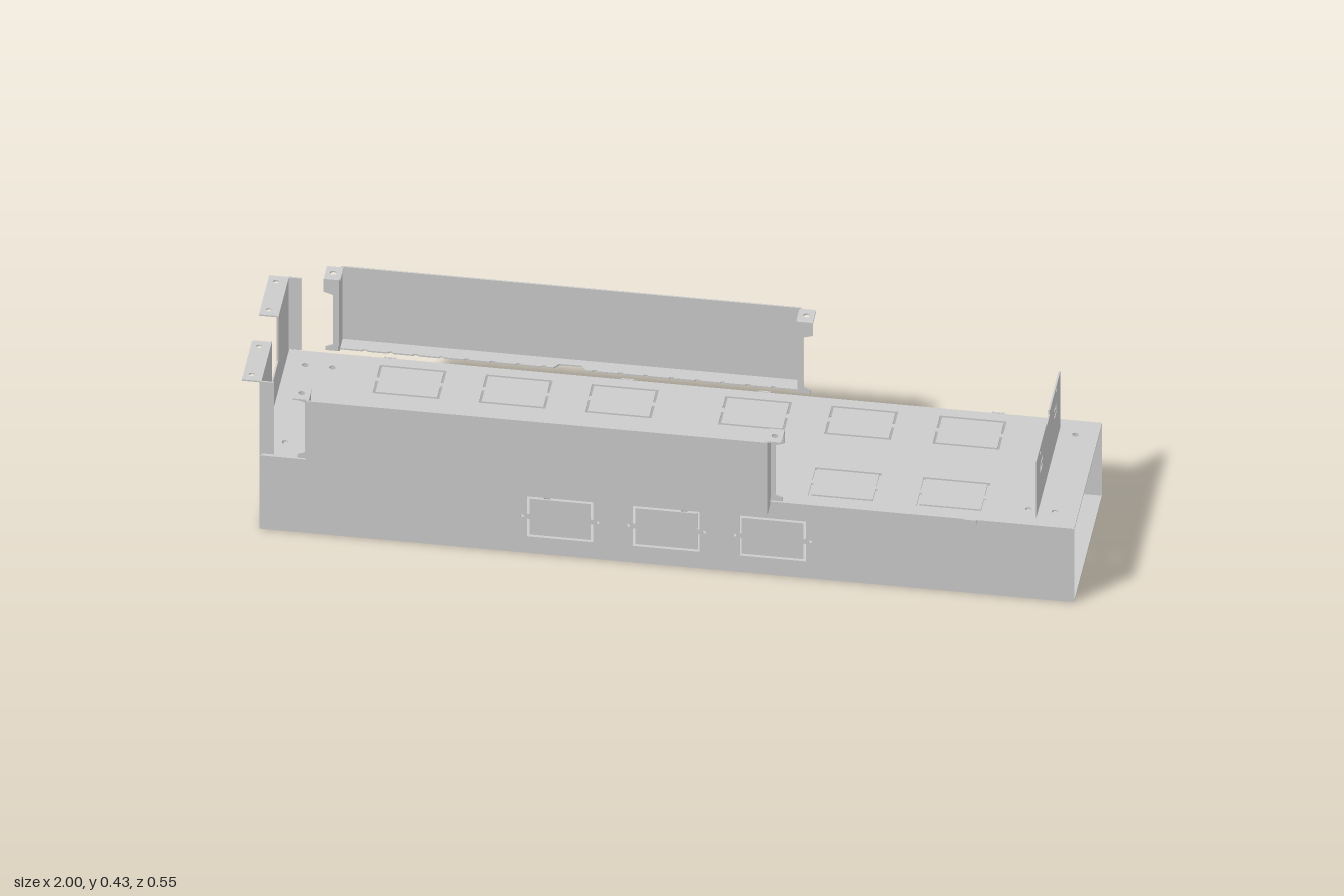
import * as THREE from 'three';

const T = 0.004; // sheet thickness
const W = 0.215, H = 0.215, X0 = -0.957, X1 = 1.0;
const mat = new THREE.MeshStandardMaterial({ color: 0xcccccc, side: THREE.DoubleSide });

const poly = (pts, Type = THREE.Shape) => new Type(pts.map(([x, y]) => new THREE.Vector2(x, y)));
const rectPts = (cx, cy, w, h) => [
  [cx - w / 2, cy - h / 2], [cx + w / 2, cy - h / 2], [cx + w / 2, cy + h / 2], [cx - w / 2, cy + h / 2]];
const rectHole = (...a) => poly(rectPts(...a), THREE.Path);
const roundHole = (x, y, r) => new THREE.Path().absarc(x, y, r, 0, Math.PI * 2, true);

// Sheet drawn on a plane: 'xy' faces z, 'xz' faces y (v = z), 'zy' faces x (u = z)
function sheet(parent, name, pts, holes, plane, at) {
  const flip = plane === 'xz';
  const shape = poly(pts);
  shape.holes = holes;
  const g = new THREE.ExtrudeGeometry(shape, { depth: T, bevelEnabled: false, curveSegments: 6 });
  g.translate(0, 0, -T / 2);
  if (flip) { g.rotateX(Math.PI / 2); g.translate(0, at, 0); }
  else if (plane === 'zy') { g.rotateY(-Math.PI / 2); g.translate(at, 0, 0); }
  else g.translate(0, 0, at);
  const m = new THREE.Mesh(g, mat);
  m.name = name;
  parent.add(m);
  return m;
}

// Knockout: a panel held in its opening by two small bridges
function knockouts(parent, name, list, plane, at) {
  const gap = 0.006;
  for (const [x, y, w, h] of list) {
    sheet(parent, name, rectPts(x, y, w - 2 * gap, h - 2 * gap), [], plane, at);
    for (const s of [-1, 1])
      sheet(parent, name + 'Bridge', rectPts(x + s * (w / 2 - gap / 2), y, gap, 0.014), [], plane, at);
  }
}

function createBody() {
  const body = new THREE.Group();
  body.name = 'ductBody';
  const cx = (X0 + X1) / 2, len = X1 - X0;

  // Top cover with twelve knockouts and corner screw holes
  const top = [], topHoles = [];
  for (const z of [-0.13, 0.122])
    for (const x of [-0.65, -0.395, -0.14, 0.18, 0.435, 0.695]) top.push([x, z, 0.16, 0.115]);
  for (const z of [-0.16, 0.155])
    for (const x of [-0.905, -0.84, 0.88, 0.945]) topHoles.push(roundHole(x, z, 0.008));
  sheet(body, 'topCover', rectPts(cx, 0, len, 2 * W),
    [...top.map((k) => rectHole(...k)), ...topHoles], 'xz', H - T / 2);
  knockouts(body, 'topKnockout', top, 'xz', H - T / 2);

  // Floor with two large knockouts and centre holes
  const floor = [[-0.755, 0, 0.19, 0.32], [0.775, 0, 0.19, 0.32]];
  const floorHoles = [-0.3, 0.03, 0.37].map((x) => roundHole(x, 0, 0.008));
  for (const x of [-0.6, 0.62])
    for (const z of [-0.13, 0.13]) floorHoles.push(rectHole(x, z, 0.01, 0.035));
  sheet(body, 'floor', rectPts(cx, 0, len, 2 * W),
    [...floor.map((k) => rectHole(...k)), ...floorHoles], 'xz', T / 2);
  knockouts(body, 'floorKnockout', floor, 'xz', T / 2);

  // Side walls with three knockouts each
  const side = [-0.235, 0.02, 0.275].map((x) => [x, 0.107, 0.16, 0.117]);
  for (const s of [-1, 1]) {
    const holes = side.map((k) => rectHole(...k));
    for (const [x, , w] of side)
      for (const e of [-1, 1]) holes.push(roundHole(x + e * (w / 2 + 0.011), 0.107, 0.004));
    if (s < 0)
      for (const x of [-0.86, 0.91]) holes.push(rectHole(x, 0.185, 0.05, 0.01), roundHole(x, 0.155, 0.006));
    sheet(body, 'sideWall', rectPts(cx, H / 2, len, H), holes, 'xy', s * W);
    knockouts(body, 'sideKnockout', side, 'xy', s * W);
    // Cover clips folded over the wall
    for (const x of [-0.71, -0.14, 0.19, 0.75])
      sheet(body, 'coverClip', rectPts(x, H - 0.005, 0.03, 0.012), [], 'xy', s * (W + T));
  }
  return body;
}

// Closed end, rising above the cover as two posts with flanges
function createEndPlate() {
  const end = new THREE.Group();
  end.name = 'endPlate';
  const top = 0.43, notch = 0.3, n = 0.05;
  sheet(end, 'endWall', [[-W, 0], [W, 0], [W, top], [n, top], [n, notch], [-n, notch], [-n, top], [-W, top]],
    [], 'zy', X0 + T / 2);
  for (const s of [-1, 1]) {
    sheet(end, 'postSideFlange', rectPts(X0 + 0.017, 0.325, 0.034, 0.21), [], 'xy', s * (W - T / 2));
    sheet(end, 'postTopFlange', rectPts(-0.978, s * 0.133, 0.044, 0.16),
      [roundHole(-0.98, s * 0.075, 0.007), roundHole(-0.98, s * 0.19, 0.007)], 'xz', top - T / 2);
  }
  return end;
}

// Upright partition near the open end
function createPartition() {
  const g = new THREE.Group();
  g.name = 'partition';
  const holes = [];
  for (const s of [-1, 1]) {
    holes.push(roundHole(s * 0.128, 0.365, 0.005));
    // C-shaped slot around a tongue
    holes.push(poly([[0.09, 0.303], [0.124, 0.303], [0.124, 0.331], [0.09, 0.331], [0.09, 0.323],
      [0.112, 0.323], [0.112, 0.311], [0.09, 0.311]].map(([z, y]) => [s * z, y]), THREE.Path));
  }
  sheet(g, 'partitionPlate', [[-0.185, H], [0.185, H], [0.185, 0.379], [0.025, 0.379], [0.025, 0.367],
    [-0.025, 0.367], [-0.025, 0.379], [-0.185, 0.379]], holes, 'zy', 0.903);
  return g;
}

// Raised side channel: outer plate, bottom lip, folded ends and ears
function createChannel(s) {
  const g = new THREE.Group();
  g.name = s > 0 ? 'frontChannel' : 'backChannel';
  const a = -0.835, b = 0.27, mid = (a + b) / 2, zo = 0.275, top = 0.43;
  sheet(g, 'channelPlate', rectPts(mid, (H + top) / 2, b - a, top - H), [], 'xy', s * zo);

  // Bottom lip with small relief cuts and one wide notch
  const lip = [[b, zo], [a, zo], [a, 0.235]];
  for (let i = 1; i < 18; i++) {
    const x = a + (i / 18) * (b - a), wide = i === 9;
    const w = wide ? 0.038 : 0.006, d = wide ? 0.016 : 0.004;
    lip.push([x - w, 0.235], [x - w * 0.7, 0.235 + d], [x + w * 0.7, 0.235 + d], [x + w, 0.235]);
  }
  lip.push([b, 0.235]);
  sheet(g, 'bottomLip', lip.map(([x, z]) => [x, s * z]), [], 'xz', H + T / 2);

  for (const e of [-1, 1]) {
    const X = (d) => mid + e * ((b - a) / 2 + d);
    sheet(g, 'endFlange', [[zo, H], [0.229, H], [0.225, 0.228], [0.218, 0.235], [0.218, top], [zo, top]]
      .map(([z, y]) => [s * z, y]), [], 'zy', X(0));
    sheet(g, 'endLip', [[0, 0.222], [0.03, 0.222], [0.03, 0.233], [0.012, 0.24], [0.012, 0.385], [0.035, 0.392],
      [0.035, top], [0, top]].map(([d, y]) => [X(d), y]), [], 'xy', s * 0.22);
    sheet(g, 'topEar', rectPts(X(0.015), s * 0.246, 0.04, 0.05), [roundHole(X(0.016), s * 0.246, 0.008)],
      'xz', top - T / 2);
  }
  return g;
}

export function createModel() {
  const model = new THREE.Group();
  model.name = 'floorDuct';
  model.add(createBody(), createEndPlate(), createPartition(), createChannel(1), createChannel(-1));
  return model;
}
